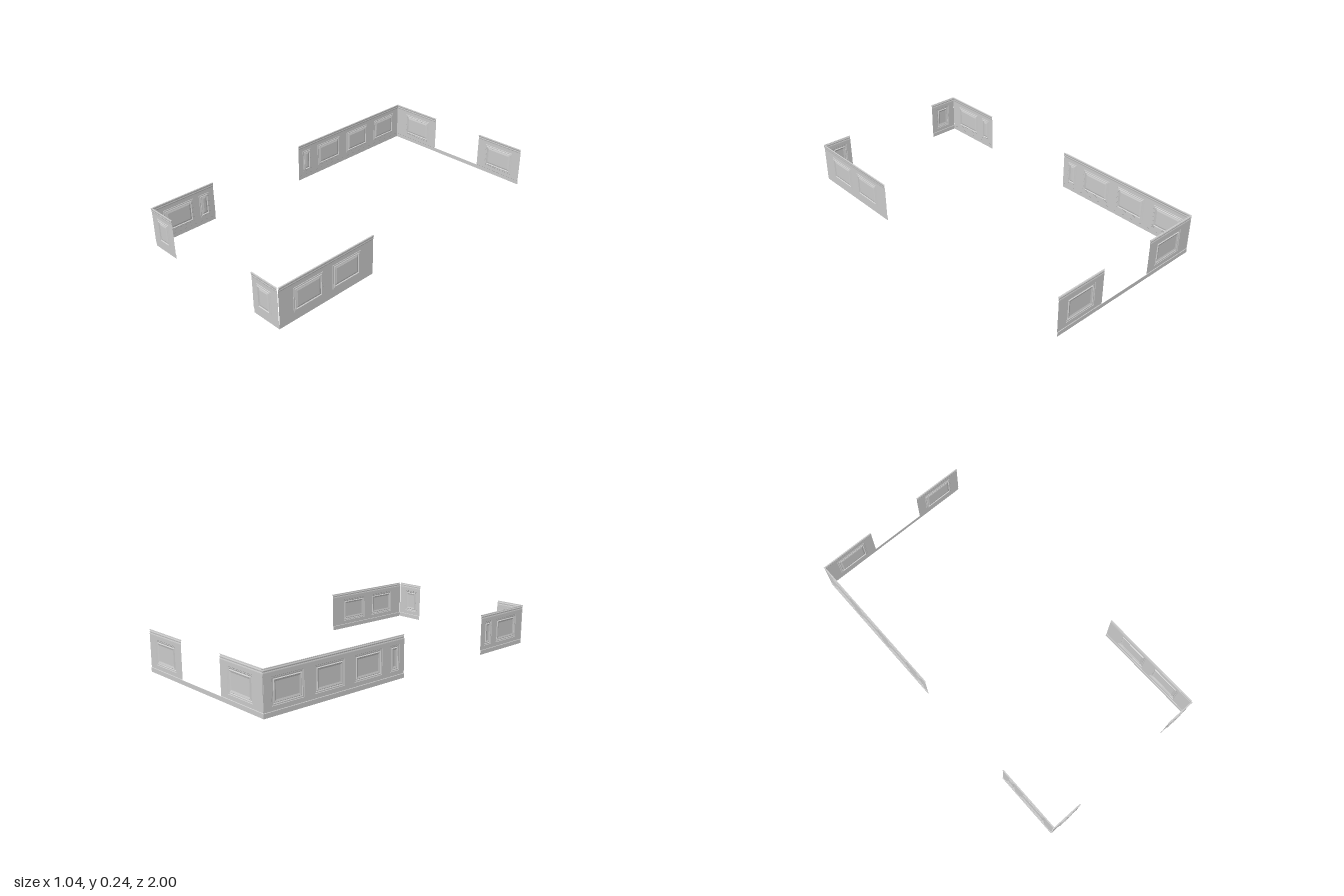
import * as THREE from 'three';

const material = new THREE.MeshStandardMaterial({ color: 0xcccccc, flatShading: true, side: THREE.DoubleSide });

const FACE = 0.003; // depth of the flat wall face
const PANEL_BOTTOM = 0.05, PANEL_TOP = 0.193;

// Profiles as [depth, height], from bottom to top
const BASEBOARD = [[0.001, 0], [0.001, 0.025], [0, 0.025]];
const LIP = [[0.001, 0.025], [FACE, 0.027]];
const RAIL = [[FACE, 0.215], [0.004, 0.219], [0.005, 0.221], [0.004, 0.228],
  [0.007, 0.234], [0.007, 0.24], [0, 0.24]];
// Panel moulding as [inset, depth], from the outside in
const MOULDING = [[0, FACE], [0.002, 0.005], [0.008, 0.005], [0.011, 0.008],
  [0.014, 0.008], [0.017, 0.003], [0.027, 0.006]];

function quadGeometry(quads) {
  const points = [];
  for (const [a, b, c, d] of quads) points.push(...a, ...b, ...c, ...a, ...c, ...d);
  const geometry = new THREE.BufferGeometry();
  geometry.setAttribute('position', new THREE.Float32BufferAttribute(points, 3));
  geometry.computeVertexNormals();
  return geometry;
}

function add(group, name, geometry) {
  const mesh = new THREE.Mesh(geometry, material);
  mesh.name = name;
  group.add(mesh);
}

// Runs a profile along the wall from u0 to u1
function strip(profile, u0, u1) {
  const quads = [];
  for (let i = 0; i < profile.length - 1; i++) {
    const [d0, y0] = profile[i], [d1, y1] = profile[i + 1];
    quads.push([[u0, y0, d0], [u1, y0, d0], [u1, y1, d1], [u0, y1, d1]]);
  }
  return quadGeometry(quads);
}

// Nested rectangles form the moulded frame and the raised field
function panel(u0, u1) {
  const rings = MOULDING.map(([i, d]) => [
    [u0 + i, PANEL_BOTTOM + i, d], [u1 - i, PANEL_BOTTOM + i, d],
    [u1 - i, PANEL_TOP - i, d], [u0 + i, PANEL_TOP - i, d]]);
  const quads = [rings[rings.length - 1]];
  for (let r = 0; r < rings.length - 1; r++) {
    for (let k = 0; k < 4; k++) {
      const n = (k + 1) % 4;
      quads.push([rings[r][k], rings[r][n], rings[r + 1][n], rings[r + 1][k]]);
    }
  }
  return quadGeometry(quads);
}

// Flat face with an opening for each panel
function wallFace(u0, u1, panels) {
  const rectangle = (Type, a, b, low, high) => new Type([
    new THREE.Vector2(a, low), new THREE.Vector2(b, low),
    new THREE.Vector2(b, high), new THREE.Vector2(a, high)]);
  const shape = rectangle(THREE.Shape, u0, u1, 0.027, 0.215);
  for (const [a, b] of panels) shape.holes.push(rectangle(THREE.Path, a, b, PANEL_BOTTOM, PANEL_TOP));
  return new THREE.ShapeGeometry(shape).translate(0, 0, FACE);
}

function wainscot(name, u0, u1, panels, withBase = true) {
  const group = new THREE.Group();
  group.name = name;
  if (withBase) add(group, 'baseboard', strip(BASEBOARD, u0, u1));
  add(group, 'lowerLip', strip(LIP, u0, u1));
  add(group, 'wallFace', wallFace(u0, u1, panels));
  add(group, 'chairRail', strip(RAIL, u0, u1));
  for (const [a, b] of panels) add(group, 'raisedPanel', panel(a, b));
  return group;
}

export function createModel() {
  const model = new THREE.Group();
  model.name = 'roomWainscoting';

  // Back wall: two sections joined by one continuous baseboard
  const back = new THREE.Group();
  back.name = 'backWall';
  back.add(wainscot('backRightSection', -0.52, -0.174, [[-0.435, -0.233]], false));
  back.add(wainscot('backLeftSection', 0.178, 0.496, [[0.238, 0.438]], false));
  add(back, 'baseboard', strip(BASEBOARD, -0.52, 0.496));
  back.position.z = -1;
  model.add(back);

  // Front wall: a short return at each corner
  const front = new THREE.Group();
  front.name = 'frontWall';
  front.add(wainscot('frontRightSection', -0.52, -0.33, [[-0.473, -0.37]]));
  front.add(wainscot('frontLeftSection', 0.327, 0.513, [[0.358, 0.464]]));
  front.position.z = 0.992;
  model.add(front);

  // Side walls run along z; after the turn, u is -z
  const right = new THREE.Group();
  right.name = 'rightWall';
  right.add(wainscot('rightBackSection', 0.066, 1,
    [[0.102, 0.171], [0.23, 0.428], [0.492, 0.688], [0.755, 0.95]]));
  right.add(wainscot('rightFrontSection', -0.992, -0.59, [[-0.93, -0.735], [-0.692, -0.624]]));
  right.rotation.y = Math.PI / 2;
  right.position.x = -0.521;
  model.add(right);

  const left = wainscot('leftWall', -0.992, -0.353, [[-0.902, -0.707], [-0.643, -0.446]]);
  left.rotation.y = Math.PI / 2;
  left.position.x = 0.512;
  model.add(left);

  return model;
}
